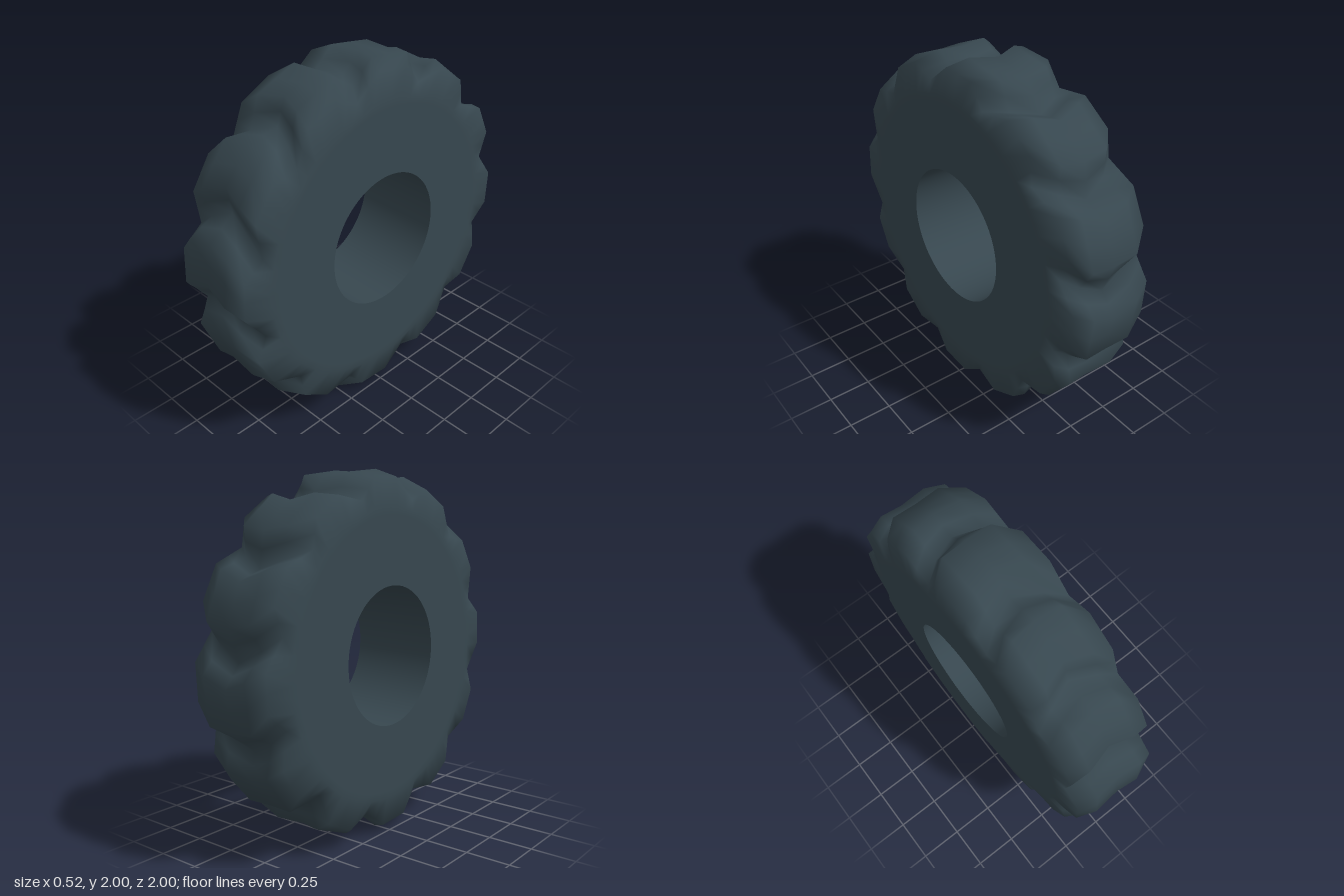
import * as THREE from 'three';

const LUGS = 12;
const STEPS = 6; // points per lug around the tyre
const COUNT = LUGS * STEPS;
const rad = THREE.MathUtils.degToRad;

// Point on the wheel, angle measured from the top towards the back
const polar = (x, r, deg) =>
  new THREE.Vector3(x, 1 + r * Math.cos(rad(deg)), -r * Math.sin(rad(deg)));

// Skin a list of closed rings into one smooth surface
function skin(rings) {
  const positions = [];
  const index = [];
  rings.forEach((ring) => ring.forEach((p) => positions.push(p.x, p.y, p.z)));
  for (let c = 0; c < rings.length - 1; c++) {
    for (let i = 0; i < COUNT; i++) {
      const j = (i + 1) % COUNT;
      const a = c * COUNT + i, b = c * COUNT + j;
      const d = a + COUNT, e = b + COUNT;
      index.push(a, d, b, b, d, e);
    }
  }
  const g = new THREE.BufferGeometry();
  g.setAttribute('position', new THREE.Float32BufferAttribute(positions, 3));
  g.setIndex(index);
  g.computeVertexNormals();
  return g;
}

// Plain round ring
function roundRing(x, r) {
  return Array.from({ length: COUNT }, (_, i) => polar(x, r, (i * 360) / COUNT - 3));
}

// Ring through the lugs: flat top from start to end, then down to the groove floor
function lugRing({ x, top, floor, start, end, groove }, side) {
  const ring = [];
  for (let k = 0; k < LUGS; k++) {
    const base = (k * 360) / LUGS;
    const corners = [
      polar(x * side, top, base + start),
      polar(x * side, top, base + end),
      polar(x * side, floor, base + groove),
      polar(x * side, top, base + 30 + start),
    ];
    for (let c = 0; c < 3; c++) {
      ring.push(corners[c], corners[c].clone().lerp(corners[c + 1], 0.5));
    }
  }
  return ring;
}

export function createModel() {
  const rubber = new THREE.MeshStandardMaterial({ color: 0x37474f });
  rubber.name = 'darkRubber';
  const group = new THREE.Group();
  group.name = 'tractorTyre';

  // Chevron tread columns from the centre line outwards
  const columns = [
    { x: 0, top: 0.99, floor: 0.895, start: 3, end: 16, groove: 26 },
    { x: 0.14, top: 1, floor: 0.89, start: 0, end: 15, groove: 21.5 },
    { x: 0.24, top: 0.96, floor: 0.865, start: -3, end: 9, groove: 16.5 },
  ];
  const walls = [[0.26, 0.8], [0.26, 0.76], [0.26, 0.385]];

  // Tread and both sidewalls as one smooth skin
  const half = (side) => [
    ...columns.slice(1).map((c) => lugRing(c, side)),
    ...walls.map(([x, r]) => roundRing(x * side, r)),
  ];
  const rings = [...half(-1).reverse(), lugRing(columns[0], 1), ...half(1)];
  const tread = new THREE.Mesh(skin(rings), rubber);
  tread.name = 'treadAndSidewalls';
  group.add(tread);

  // Inner bore, with a sharp edge to the sidewalls
  const bore = new THREE.Mesh(skin([roundRing(0.26, 0.385), roundRing(-0.26, 0.385)]), rubber);
  bore.name = 'bore';
  group.add(bore);

  return group;
}
